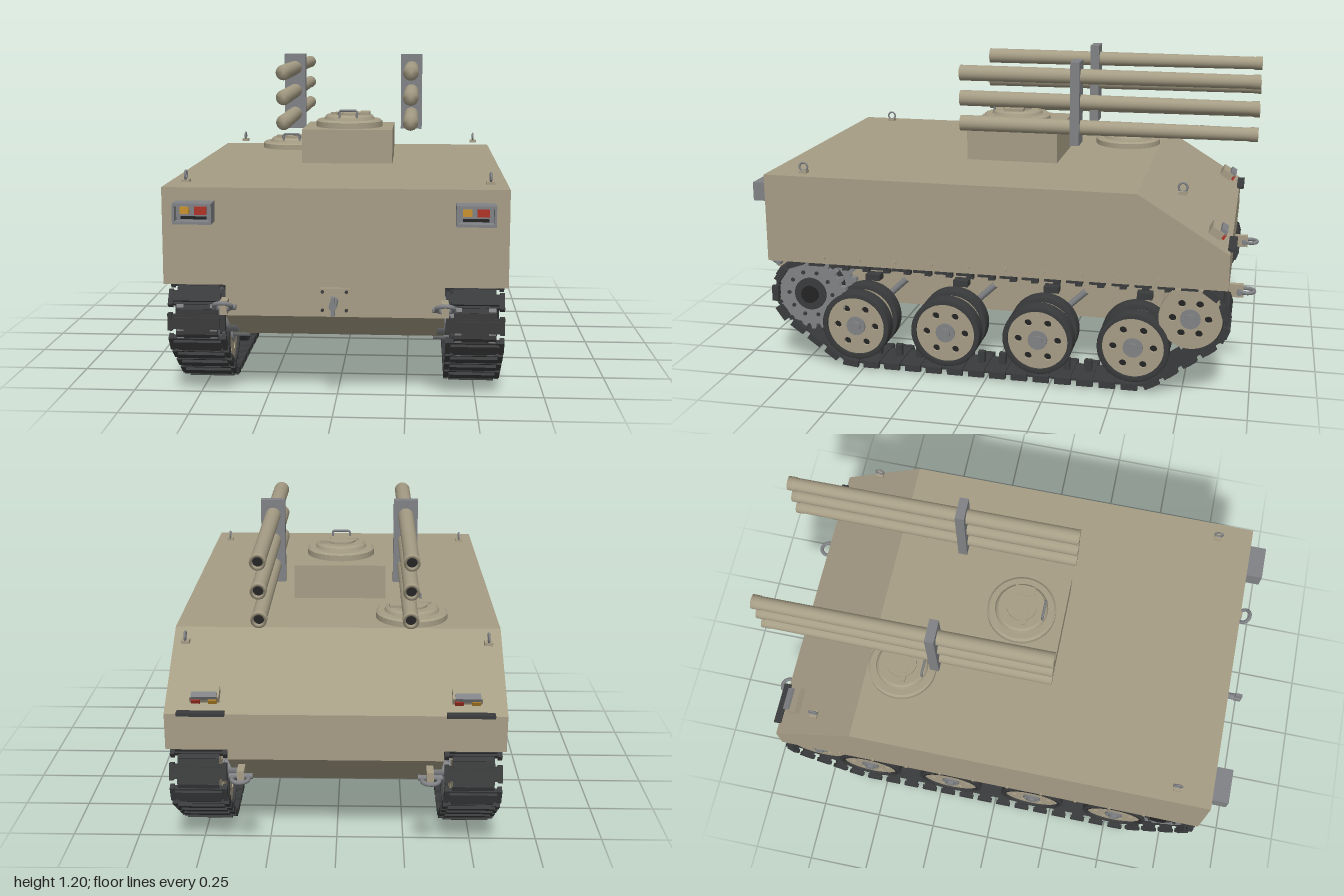
import * as THREE from 'three';
import { mergeGeometries } from 'three/addons/utils/BufferGeometryUtils.js';

const mat = (color) => new THREE.MeshStandardMaterial({ color });
const TAN = mat(0xa69d85), DARK = mat(0x3a3b3c), GREY = mat(0x808285), BLACK = mat(0x242424);
const ORANGE = mat(0xc8922e), RED = mat(0xb03428);
const TRACK_X = 0.4925;

function add(parent, name, geo, material, x = 0, y = 0, z = 0) {
  const mesh = new THREE.Mesh(geo, material);
  mesh.name = name;
  mesh.position.set(x, y, z);
  parent.add(mesh);
  return mesh;
}
const box = (w, h, d) => new THREE.BoxGeometry(w, h, d);
const disc = (r, h, n = 32, r2 = r) => new THREE.CylinderGeometry(r2, r, h, n);
const axle = (r, w, n = 32) => disc(r, w, n).rotateZ(Math.PI / 2);
const tubeThrough = (pts, r) => new THREE.TubeGeometry(
  new THREE.CatmullRomCurve3(pts.map((p) => new THREE.Vector3(...p)), false, 'catmullrom', 0.1), 20, r, 8);

// Extrudes a shape drawn in (-z, y) across the width, centred on x = 0
function across(shape, width) {
  return new THREE.ExtrudeGeometry(shape, { depth: width, bevelEnabled: false, curveSegments: 24 })
    .translate(0, 0, -width / 2).rotateY(Math.PI / 2);
}
const profile = (pts) => new THREE.Shape(pts.map(([z, y]) => new THREE.Vector2(-z, y)));

function plateWithHoles(r, width, count, holeR, ringR) {
  const s = new THREE.Shape().absarc(0, 0, r, 0, Math.PI * 2);
  for (let i = 0; i < count; i++) {
    const a = (i / count) * Math.PI * 2;
    s.holes.push(new THREE.Path().absarc(ringR * Math.cos(a), ringR * Math.sin(a), holeR, 0, Math.PI * 2, true));
  }
  return across(s, width);
}

// Dual wheel: two perforated discs, optional rubber tyres and a hub
function wheel(name, r, rubber) {
  const g = new THREE.Group();
  g.name = name;
  const rim = rubber ? r - 0.02 : r;
  for (const x of [-0.055, 0.055]) {
    add(g, 'wheelDisc', plateWithHoles(rim, 0.04, 6, 0.014, r * 0.56), TAN, x);
    add(g, 'wheelCore', axle(rim * 0.85, 0.016), BLACK, x);
    if (rubber) {
      const tyre = [[rim, -0.03], [r - 0.004, -0.03], [r, -0.026], [r, 0.026], [r - 0.004, 0.03], [rim, 0.03], [rim, -0.03]];
      add(g, 'tyre', new THREE.LatheGeometry(tyre.map((p) => new THREE.Vector2(...p)), 40).rotateZ(Math.PI / 2), DARK, x);
    }
  }
  add(g, 'hub', axle(0.038, 0.165, 20), GREY);
  add(g, 'hubCap', axle(0.02, 0.185, 12), GREY);
  return g;
}

function sprocket() {
  const g = new THREE.Group();
  g.name = 'driveSprocket';
  const pts = [], teeth = 22;
  for (let i = 0; i < teeth; i++) {
    [[0, 0.128], [0.3, 0.128], [0.45, 0.148], [0.8, 0.148]].forEach(([t, r]) => {
      const a = ((i + t) / teeth) * Math.PI * 2;
      pts.push(new THREE.Vector2(r * Math.cos(a), r * Math.sin(a)));
    });
  }
  for (const x of [-0.06, 0.06]) add(g, 'toothedRing', across(new THREE.Shape(pts), 0.025), GREY, x);
  add(g, 'sprocketDrum', axle(0.1, 0.12), DARK);
  add(g, 'sprocketHub', axle(0.065, 0.16), DARK);
  add(g, 'sprocketCap', axle(0.035, 0.18, 16), BLACK);
  for (let i = 0; i < 10; i++) {
    const a = (i / 10) * Math.PI * 2;
    add(g, 'sprocketBolt', axle(0.008, 0.155, 8), DARK, 0, 0.09 * Math.sin(a), 0.09 * Math.cos(a));
  }
  return g;
}

// Belt wrapped round the outer wheels, sampled evenly into links
function trackGeometry() {
  const circles = [[0.715, 0.29, 0.138], [0.53, 0.17, 0.15], [-0.565, 0.17, 0.15], [-0.775, 0.3, 0.13]];
  const path = new THREE.CurvePath(), pts = [];
  for (let i = 0; i <= 180; i++) {
    const a = (i / 180) * Math.PI * 2, c = Math.cos(a), s = Math.sin(a);
    const best = circles.reduce((m, k) => (k[0] * c + k[1] * s + k[2] > m[0] * c + m[1] * s + m[2] ? k : m));
    pts.push(new THREE.Vector3(0, best[1] + best[2] * s, best[0] + best[2] * c));
  }
  for (let i = 0; i < 180; i++) path.add(new THREE.LineCurve3(pts[i], pts[i + 1]));
  const link = mergeGeometries([
    box(0.2, 0.018, 0.052), box(0.17, 0.02, 0.036).translate(0, 0.01, 0),
    box(0.024, 0.05, 0.026).translate(0, -0.03, 0),
    box(0.016, 0.026, 0.062).translate(0.095, 0, 0), box(0.016, 0.026, 0.062).translate(-0.095, 0, 0),
    box(0.15, 0.01, 0.09),
  ]);
  const links = [], count = 46;
  for (let i = 0; i < count; i++) {
    const p = path.getPointAt(i / count), t = path.getTangentAt(i / count);
    const out = new THREE.Vector3(0, -t.z, t.y);
    if (out.dot(new THREE.Vector3(0, p.y - 0.24, p.z)) < 0) out.negate();
    const m = new THREE.Matrix4().makeBasis(new THREE.Vector3().crossVectors(out, t), out, t).setPosition(p);
    links.push(link.clone().applyMatrix4(m));
  }
  return mergeGeometries(links);
}

// Round hatch with ring, lid, hinge and grab handle
function hatch(name, scaleY) {
  const g = new THREE.Group();
  g.name = name;
  const rings = [[0, 0], [0.137, 0], [0.137, 0.02], [0.128, 0.026], [0.105, 0.026], [0.1, 0.036], [0.092, 0.042], [0, 0.042]];
  const body = new THREE.LatheGeometry(rings.map((p) => new THREE.Vector2(p[0], p[1] * scaleY)), 40);
  body.computeVertexNormals();
  add(g, 'hatchLid', body.toNonIndexed(), TAN).geometry.computeVertexNormals();
  const top = 0.042 * scaleY;
  add(g, 'lidBoss', disc(0.06, 0.008), TAN, 0, top + 0.004);
  add(g, 'hinge', box(0.04, 0.014, 0.08), TAN, 0.065, top + 0.004);
  add(g, 'latch', box(0.05, 0.012, 0.02), TAN, -0.05, top + 0.004, 0.02);
  add(g, 'grabHandle', tubeThrough([[-0.035, top - 0.01, 0.09], [-0.035, top + 0.02, 0.09],
    [0.035, top + 0.02, 0.09], [0.035, top - 0.01, 0.09]], 0.005), GREY);
  return g;
}

export function createModel() {
  const model = new THREE.Group();
  model.name = 'missileCarrier';

  // Hull
  add(model, 'upperHull', across(profile([[0.87, 0.43], [0.87, 0.775], [-0.57, 0.775], [-0.91, 0.565], [-0.91, 0.43]].reverse()), 1.21), TAN);
  add(model, 'lowerHull', across(profile([[0.87, 0.44], [0.87, 0.32], [0.7, 0.21], [-0.68, 0.21], [-0.905, 0.39], [-0.905, 0.44]]), 0.77), TAN);
  add(model, 'turretBase', box(0.365, 0.137, 0.37), TAN, 0, 0.8425, -0.015);
  const cupola = hatch('commanderCupola', 1.2), driver = hatch('driverHatch', 1.1);
  cupola.position.set(0, 0.91, 0);
  driver.position.set(-0.28, 0.774, -0.43);
  model.add(cupola, driver);

  // Tow hitch
  add(model, 'hitchPlate', box(0.108, 0.09, 0.012), TAN, 0, 0.38, 0.876);
  add(model, 'hitchStem', disc(0.014, 0.09, 12).rotateX(Math.PI / 2), GREY, 0, 0.38, 0.925);
  add(model, 'hitchHook', box(0.014, 0.065, 0.03), GREY, 0, 0.38, 0.96);
  for (const x of [-0.042, 0.042]) for (const y of [0.347, 0.413]) {
    add(model, 'hitchBolt', disc(0.006, 0.01, 8).rotateX(Math.PI / 2), DARK, x, y, 0.884);
  }

  const track = trackGeometry();
  for (const s of [-1, 1]) {
    const side = new THREE.Group();
    side.name = s > 0 ? 'leftSide' : 'rightSide';
    model.add(side);

    // Running gear
    add(side, 'track', track, DARK, s * TRACK_X);
    for (const z of [0.53, 0.165, -0.2, -0.565]) {
      const w = wheel('roadWheel', 0.137, true);
      w.position.set(s * TRACK_X, 0.17, z);
      side.add(w);
      add(side, 'wheelAxle', axle(0.02, 0.14, 12), GREY, s * 0.42, 0.17, z);
      add(side, 'suspensionArm', tubeThrough([[s * 0.397, 0.17, z], [s * 0.397, 0.32, z - 0.16]], 0.013), GREY);
      add(side, 'bumpStop', box(0.05, 0.025, 0.06), DARK, s * 0.405, 0.325, z - 0.025);
    }
    const idler = wheel('idlerWheel', 0.118, false), drive = sprocket();
    idler.position.set(s * TRACK_X, 0.3, -0.775);
    drive.position.set(s * TRACK_X, 0.29, 0.715);
    side.add(idler, drive);
    add(side, 'idlerAxle', axle(0.03, 0.15, 16), GREY, s * 0.42, 0.3, -0.775);
    add(side, 'finalDrive', axle(0.07, 0.1), GREY, s * 0.41, 0.29, 0.715);

    // Side rivets
    for (let i = 0; i < 10; i++) add(side, 'rivet', axle(0.008, 0.012, 8), TAN, s * 0.606, 0.455, 0.64 - i * 0.144);

    // Missile tubes and bracket
    add(side, 'tubeBracket', box(0.092, 0.325, 0.036), GREY, s * 0.255, 1.0375, -0.288);
    for (const y of [0.94, 1.04, 1.14]) {
      const wall = [[0.018, 1.0], [0.018, 1.16], [0.028, 1.16], [0.028, 1.13], [0.026, 1.13], [0.03, 0.35], [0.031, 0], [0, 0]];
      const tube = new THREE.LatheGeometry(wall.map((p) => new THREE.Vector2(...p)).reverse(), 24).rotateX(-Math.PI / 2);
      add(side, 'missileTube', tube, TAN, s * 0.255, y, 0.175);
      add(side, 'tubeBore', disc(0.0185, 0.01, 20).rotateX(Math.PI / 2), BLACK, s * 0.255, y, -0.965);
    }

    // Front lamp cluster
    add(side, 'lampBack', box(0.13, 0.07, 0.035), GREY, s * 0.487, 0.692, 0.885);
    for (const y of [0.661, 0.724]) add(side, 'lampFrame', box(0.136, 0.01, 0.07), GREY, s * 0.487, y, 0.905);
    for (const x of [-0.064, 0.064]) add(side, 'lampFrame', box(0.008, 0.07, 0.07), GREY, s * 0.487 + x, 0.692, 0.905);
    add(side, 'amberLamp', box(0.032, 0.024, 0.02), ORANGE, s * 0.487 - 0.03, 0.7, 0.903);
    add(side, 'redLamp', box(0.042, 0.028, 0.02), RED, s * 0.487 + 0.025, 0.7, 0.903);
    add(side, 'lampSlot', box(0.09, 0.01, 0.012), BLACK, s * 0.487, 0.674, 0.9);

    // Rear lamps lying on the sloped plate
    const rear = new THREE.Group();
    rear.name = 'rearLamp';
    rear.position.set(s * 0.465, 0.598, -0.865);
    rear.rotation.x = -0.553;
    side.add(rear);
    add(rear, 'rearLampBody', box(0.105, 0.03, 0.05), TAN, 0, 0.012, 0.02);
    add(rear, 'rearLampHood', box(0.09, 0.018, 0.025), GREY, 0, 0.03, 0.0);
    for (const x of [-0.03, 0.03]) add(rear, 'rearLampLens', box(0.03, 0.02, 0.012), x < 0 ? ORANGE : RED, x, 0.014, -0.01);
    add(side, 'rearGuard', box(0.17, 0.012, 0.03), DARK, s * 0.475, 0.57, -0.915);

    // Lifting eyes
    for (const z of [0.73, -0.73]) {
      const y = z > 0 ? 0.775 : 0.77;
      add(side, 'liftingEye', new THREE.TorusGeometry(0.016, 0.004, 8, 20).rotateY(Math.PI / 2), GREY, s * 0.545, y + 0.024, z);
      add(side, 'liftingEyeBase', box(0.03, 0.012, 0.03), TAN, s * 0.545, y + 0.004, z);
    }

    // Tow shackles
    for (const [x, y, z, d, tilt] of [[0.385, 0.36, 0.87, 1, 0.6], [0.335, 0.345, -0.905, -1, 0]]) {
      add(side, 'shackleLug', box(0.025, 0.05, 0.06), TAN, s * x, y, z + d * 0.025);
      add(side, 'shacklePin', axle(0.01, 0.085, 10), GREY, s * x, y, z + d * 0.04);
      add(side, 'shackleRing', new THREE.TorusGeometry(0.03, 0.008, 8, 24).rotateX(Math.PI / 2 - tilt), GREY,
        s * x, y + tilt * 0.015, z + d * 0.065);
    }
  }
  return model;
}
